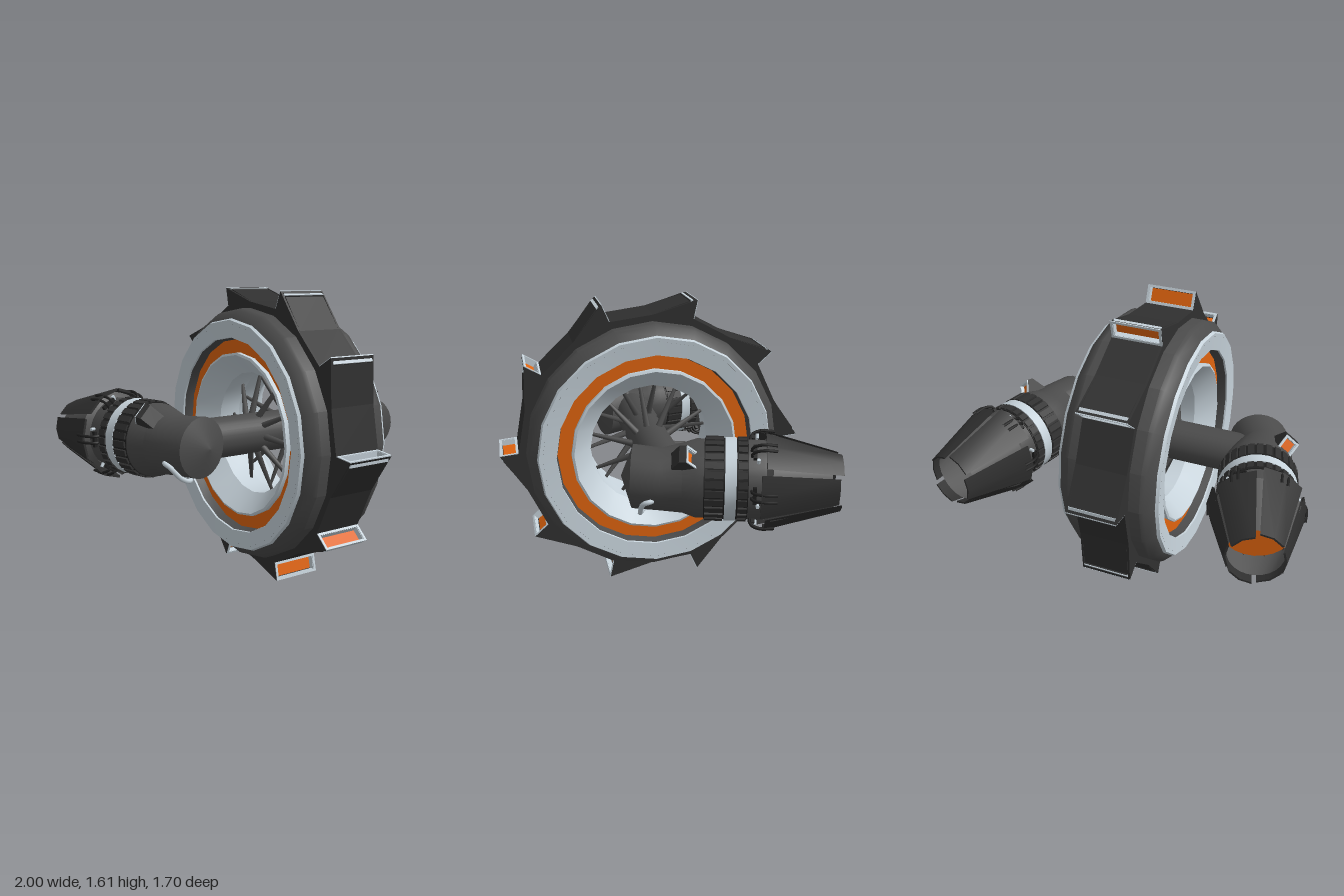
import * as THREE from 'three';
import { toCreasedNormals } from 'three/addons/utils/BufferGeometryUtils.js';

const mat = (name, color, side = THREE.FrontSide) => {
  const m = new THREE.MeshStandardMaterial({ color, side });
  m.name = name;
  return m;
};
const rubber = mat('grey rubber', 0x4b4b4b);
const tread = mat('dark plating', 0x303030, THREE.DoubleSide);
const black = mat('black trim', 0x202020);
const light = mat('pale metal', 0xc6d2da);
const orange = mat('orange glow', 0xe0640f);
const liner = mat('nozzle lining', 0x5a5a5a, THREE.DoubleSide);

const V2 = (x, y) => new THREE.Vector2(x, y);
const rad = THREE.MathUtils.degToRad;

function add(parent, name, geo, material) {
  const mesh = new THREE.Mesh(geo, material);
  mesh.name = name;
  parent.add(mesh);
  return mesh;
}

function group(parent, name) {
  const g = new THREE.Group();
  g.name = name;
  parent.add(g);
  return g;
}

// Lathe from [radius, height] pairs, with hard edges kept
function lathe(points, sides, start = 0, length = Math.PI * 2) {
  const geo = new THREE.LatheGeometry(points.map(p => V2(...p)), sides, start, length);
  return toCreasedNormals(geo, 0.45);
}
const alongX = geo => geo.rotateZ(-Math.PI / 2);
const alongBack = geo => geo.rotateX(-Math.PI / 2);

// Rectangular frame reaching back from z = 0
function frame(w, h, border, depth) {
  const rect = (Kind, a, b) => new Kind([V2(-a, -b), V2(a, -b), V2(a, b), V2(-a, b)]);
  const shape = rect(THREE.Shape, w / 2, h / 2);
  shape.holes.push(rect(THREE.Path, w / 2 - border, h / 2 - border));
  return new THREE.ExtrudeGeometry(shape, { depth, bevelEnabled: false }).translate(0, 0, -depth);
}

// Directions down an open face and into the block behind it
function faceAxes(tip, base) {
  const down = base.clone().sub(tip).normalize();
  return { down, inward: V2(down.y, -down.x) };
}

// Framed vent set into the face between tip and base
function addVent(parent, tip, base, width, depth) {
  const { down, inward } = faceAxes(tip, base);
  const h = tip.distanceTo(base);
  const g = group(parent, 'vent');
  const y = new THREE.Vector3(-down.x, -down.y, 0);
  const z = new THREE.Vector3(-inward.x, -inward.y, 0);
  g.setRotationFromMatrix(new THREE.Matrix4().makeBasis(y.clone().cross(z), y, z));
  g.position.set((tip.x + base.x) / 2, (tip.y + base.y) / 2, 0);
  add(g, 'ventFrame', frame(width, h, h * 0.13, 0.006).translate(0, 0, 0.004), light);
  add(g, 'ventLining', frame(width - 0.02, h * 0.84, h * 0.06, depth), light);
  add(g, 'ventGlow', new THREE.PlaneGeometry(width - 0.02, h * 0.8).translate(0, 0, -depth + 0.001), orange);
}

// Corners of the notch cut behind a vent
function notch(tip, base, depth) {
  const { down, inward } = faceAxes(tip, base);
  const h = tip.distanceTo(base);
  const at = (a, b) => tip.clone().addScaledVector(down, a * h).addScaledVector(inward, b);
  return [at(0.08, 0), at(0.12, depth), at(0.94, depth), at(0.94, 0)];
}

function extrudeCentred(points, width, centre, hole) {
  const shape = new THREE.Shape(points);
  if (hole) shape.holes.push(hole);
  return new THREE.ExtrudeGeometry(shape, { depth: width, bevelEnabled: false })
    .translate(0, 0, centre - width / 2);
}

function buildWheel(root) {
  const wheel = group(root, 'wheel');
  add(wheel, 'tyre', alongX(lathe([[0.62, -0.28], [0.65, -0.265], [0.69, -0.222], [0.7, -0.2],
    [0.7, 0.2], [0.69, 0.222], [0.65, 0.265], [0.62, 0.28]], 20)), rubber);

  // Rim rings on both sides
  const rings = [
    ['outerRim', [[0.65, 0.262], [0.64, 0.282], [0.545, 0.272], [0.543, 0.262]], light],
    ['rimGroove', [[0.543, 0.262], [0.535, 0.21]], rubber],
    ['glowRing', [[0.537, 0.21], [0.46, 0.21]], orange],
    ['innerRim', [[0.46, 0.21], [0.46, 0.235], [0.447, 0.24], [0.345, 0.13], [0.345, 0]], light],
  ];
  for (const [name, pts, m] of rings) {
    add(wheel, name, alongX(lathe(pts, 20)), m);
    add(wheel, name, alongX(lathe(pts.map(([r, x]) => [r, -x]).reverse(), 20)), m);
  }

  // Axle and splayed spokes
  add(wheel, 'axle', alongX(new THREE.CylinderGeometry(0.113, 0.113, 1.1, 24)), rubber);
  for (const side of [-1, 1]) for (let i = 0; i < 10; i++) {
    const a = rad(36 * i + side * 4), b = a + rad(side * 5);
    const from = new THREE.Vector3(side * 0.12, Math.sin(a) * 0.1, Math.cos(a) * 0.1);
    const to = new THREE.Vector3(side * 0.03, Math.sin(b) * 0.35, Math.cos(b) * 0.35);
    const dir = to.clone().sub(from);
    const spoke = add(wheel, 'spoke', new THREE.CylinderGeometry(0.009, 0.019, dir.length(), 6), rubber);
    spoke.position.copy(from).add(to).multiplyScalar(0.5);
    spoke.quaternion.setFromUnitVectors(new THREE.Vector3(0, 1, 0), dir.normalize());
  }

  // Saw-tooth tread: solid cheeks, notched middle and a vent in each tooth
  const treadGroup = group(wheel, 'tread');
  treadGroup.rotation.y = Math.PI / 2;
  const at = (r, deg) => V2(-r * Math.cos(rad(deg)), r * Math.sin(rad(deg)));
  const solid = [], cut = [];
  for (let i = 0; i < 10; i++) {
    const a = -1 + 36 * i;
    const mid = at(0.735, a - 16.6), tip = at(0.842, a), base = at(0.74, a + 0.7);
    solid.push(mid, tip, base);
    cut.push(mid, tip, ...notch(tip, base, 0.034), base);
    addVent(treadGroup, tip, base, 0.278, 0.032);
  }
  const bore = () => new THREE.Path().absarc(0, 0, 0.68, 0, Math.PI * 2);
  add(treadGroup, 'treadMiddle', extrudeCentred(cut, 0.256, 0, bore()), tread);
  for (const s of [-1, 1]) add(treadGroup, 'treadCheek', extrudeCentred(solid, 0.012, s * 0.134, bore()), tread);
  wheel.position.y = 0.805;
}

function buildEngine(root, side) {
  const engine = group(root, side > 0 ? 'leftEngine' : 'rightEngine');
  engine.position.set(side * 0.7, 0.805, -0.29);
  engine.rotation.y = -side * rad(15);

  // Body with a domed nose and a slight elbow
  const body = alongBack(new THREE.LatheGeometry([[0, -0.55], [0.163, -0.489], [0.158, -0.344],
    [0.178, -0.235], [0.2, -0.17], [0.2, 0.16], [0.185, 0.21], [0, 0.21]].map(p => V2(...p)), 28));
  const pos = body.attributes.position;
  for (let i = 0; i < pos.count; i++) {
    if (Math.abs(pos.getZ(i) - 0.344) < 0.01) pos.setX(i, pos.getX(i) + side * 0.03);
  }
  add(engine, 'engineBody', toCreasedNormals(body, 0.45), rubber);

  // Collar bands and their ribs
  const band = (name, a, b, r, m) =>
    add(engine, name, alongBack(lathe([[0.19, a], [r, a], [r, b], [0.19, b]], 28)), m);
  band('paleBand', -0.028, 0.028, 0.21, light);
  band('frontCollar', -0.13, -0.028, 0.204, black);
  band('rearCollar', 0.028, 0.085, 0.204, black);
  for (let i = 0; i < 28; i++) {
    const a = (i / 28) * Math.PI * 2;
    for (const [s, len] of [[-0.08, 0.09], [0.058, 0.045]]) {
      const rib = add(engine, 'collarRib', new THREE.BoxGeometry(0.033, 0.014, len), tread);
      rib.position.set(Math.sin(a) * 0.206, Math.cos(a) * 0.206, -s);
      rib.rotation.z = -a;
    }
  }

  // Nozzle: lining, glow and overlapping plates
  add(engine, 'nozzleLining', alongBack(lathe([[0.2, 0.17], [0.228, 0.2], [0.14, 0.49]], 24)), liner);
  add(engine, 'nozzleGlow', new THREE.CircleGeometry(0.195, 24).rotateY(Math.PI).translate(0, 0, -0.29), orange);
  for (let i = 0; i < 6; i++) {
    const lift = i % 2 ? 0.006 : 0, start = 0.17 - (i % 2) * 0.025;
    const plate = [[0.238 + lift, start], [0.252 + lift, start], [0.147 + lift, 0.545 - lift * 3],
      [0.137 + lift, 0.545 - lift * 3], [0.238 + lift, start]];
    add(engine, 'nozzlePlate', alongBack(lathe(plate, 2, rad(60 * i + 4), rad(52))), tread);
  }

  // Clips holding the plates
  for (let i = 0; i < 6; i++) {
    const clip = group(engine, 'clip');
    clip.rotation.z = rad(60 * i + 30);
    for (const dx of [-0.018, 0.018]) {
      const path = new THREE.CatmullRomCurve3([[0.195, 0.1], [0.225, 0.105], [0.246, 0.15], [0.243, 0.22]]
        .map(([r, s]) => new THREE.Vector3(dx, r, -s)));
      add(clip, 'clipArm', new THREE.TubeGeometry(path, 8, 0.008, 6), black);
    }
    add(clip, 'clipBar', new THREE.BoxGeometry(0.085, 0.018, 0.018).translate(0, 0.21, -0.115), black);
    add(clip, 'clipPin', new THREE.CylinderGeometry(0.009, 0.009, 0.024, 8).translate(0.055, 0.21, -0.13), light);
  }

  // Small intake on the upper outer flank
  const intake = group(engine, 'intake');
  intake.rotation.z = -side * rad(42);
  const wedge = group(intake, 'intakeWedge');
  wedge.rotation.y = Math.PI / 2;
  const tip = V2(-0.215, 0.256), base = V2(-0.165, 0.185);
  const outline = [V2(-0.3, 0.155), V2(-0.25, 0.25), tip];
  add(wedge, 'intakeMiddle', extrudeCentred([...outline, ...notch(tip, base, 0.02), base, V2(-0.165, 0.155)], 0.076, 0), tread);
  for (const s of [-1, 1]) {
    add(wedge, 'intakeCheek', extrudeCentred([...outline, base, V2(-0.165, 0.155)], 0.008, s * 0.042), tread);
  }
  addVent(wedge, tip, base, 0.092, 0.018);

  // Pale grab handle under the nose
  const path = new THREE.CatmullRomCurve3([[0.72, 0.74, 0.08], [0.765, 0.738, 0.13], [0.755, 0.725, 0.16],
    [0.69, 0.655, 0.165], [0.63, 0.63, 0.15], [0.6, 0.655, 0.11]]
    .map(([x, y, z]) => new THREE.Vector3(side * x, y, z)));
  add(root, 'handle', new THREE.TubeGeometry(path, 24, 0.013, 8), light);
}

export function createModel() {
  const root = new THREE.Group();
  root.name = 'wheelWithEngines';
  buildWheel(root);
  for (const side of [1, -1]) buildEngine(root, side);
  return root;
}
